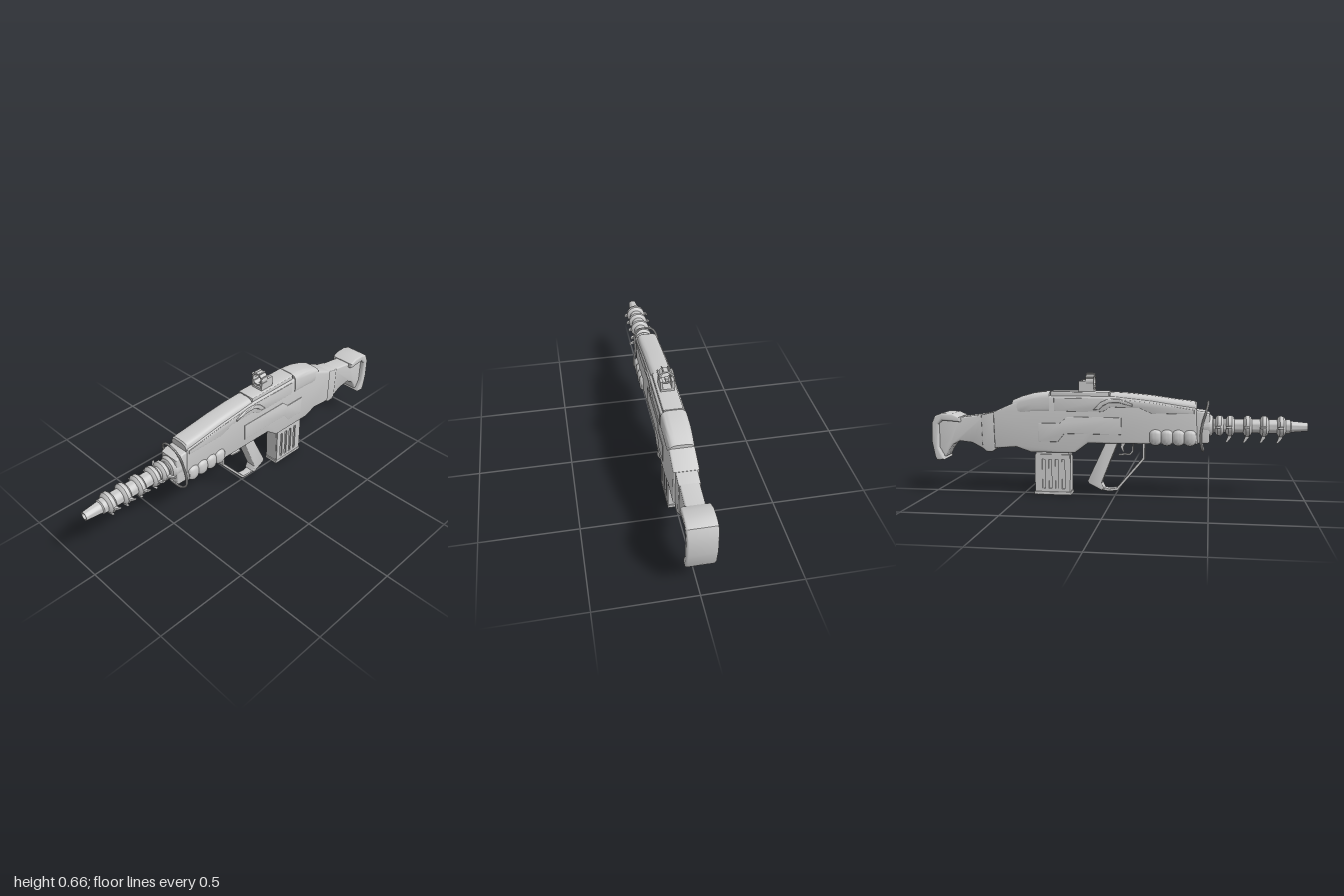
import * as THREE from 'three';
import { toCreasedNormals } from 'three/addons/utils/BufferGeometryUtils.js';

const material = new THREE.MeshStandardMaterial({ color: 0xcccccc, side: THREE.DoubleSide });

function add(parent, name, geometry, crease = 0.6) {
  const mesh = new THREE.Mesh(toCreasedNormals(geometry, crease), material);
  mesh.name = name;
  parent.add(mesh);
  return mesh;
}

// Side outline [z, y] extruded across x, centred, outer size kept after bevelling
function slab(points, halfWidth, bevel = 0, holes = []) {
  const toPath = (P, list) => new P(list.map(([z, y]) => new THREE.Vector2(z, y)));
  const shape = toPath(THREE.Shape, points);
  shape.holes = holes.map(h => toPath(THREE.Path, h));
  const depth = 2 * (halfWidth - bevel);
  const geo = new THREE.ExtrudeGeometry(shape, {
    depth, bevelEnabled: bevel > 0, bevelSize: bevel, bevelThickness: bevel,
    bevelOffset: -bevel, bevelSegments: 3,
  });
  return geo.translate(0, 0, -depth / 2).rotateY(-Math.PI / 2);
}

// Rounded-square sections [z, yBottom, yTop, halfWidth] joined along increasing z
function loft(stations, power = 4, sides = 32) {
  const pos = [], index = [];
  const round = v => Math.sign(v) * Math.abs(v) ** (2 / power);
  for (const [z, y0, y1, w] of stations)
    for (let j = 0; j < sides; j++) {
      const a = j / sides * Math.PI * 2;
      pos.push(w * round(Math.cos(a)), (y0 + y1) / 2 + (y1 - y0) / 2 * round(Math.sin(a)), z);
    }
  const last = (stations.length - 1) * sides, centre = stations.length * sides;
  for (const [z, y0, y1] of [stations[0], stations.at(-1)]) pos.push(0, (y0 + y1) / 2, z);
  for (let j = 0; j < sides; j++) {
    const k = (j + 1) % sides;
    for (let i = 0; i < last; i += sides)
      index.push(i + j, i + k, i + sides + j, i + k, i + sides + k, i + sides + j);
    index.push(centre, k, j, centre + 1, last + j, last + k);
  }
  const geo = new THREE.BufferGeometry();
  geo.setAttribute('position', new THREE.Float32BufferAttribute(pos, 3));
  geo.setIndex(index);
  return geo;
}

const box = (w, h, d, x, y, z) => new THREE.BoxGeometry(w, h, d).translate(x, y, z);
const rect = (z0, z1, y0, y1) => [[z0, y0], [z1, y0], [z1, y1], [z0, y1]];

function addBarrel(root) {
  const barrel = new THREE.Group();
  barrel.name = 'barrel';
  barrel.position.y = 0.39;
  root.add(barrel);
  const rings = [0.55, 0.605, 0.695, 0.78, 0.866];
  const profile = [[0, 0.46], [0.06, 0.46], [0.06, 0.5], [0.05, 0.515], [0.037, 0.52]];
  for (const z of rings)
    profile.push([0.037, z - 0.022], [0.046, z - 0.018], [0.054, z - 0.009],
      [0.054, z + 0.009], [0.046, z + 0.018], [0.037, z + 0.022]);
  profile.push([0.037, 0.91], [0.03, 0.915], [0.022, 1], [0.016, 1], [0.016, 0.92], [0, 0.92]);
  add(barrel, 'ringedBarrel', new THREE.LatheGeometry(
    profile.map(([r, z]) => new THREE.Vector2(r, z)), 24).rotateX(Math.PI / 2));
  // Curved fins below and beside each ring
  rings.forEach((z, i) => {
    for (const turn of [-1, 0, 1]) {
      if (i === 0 && turn === 0) continue;
      const tip = turn === 0 || i === 0 ? 0.088 : 0.072;
      const fin = slab([[z + 0.012, -0.045], [z + 0.008, -0.062], [z - 0.012, -tip],
        [z - 0.022, -tip], [z - 0.012, -0.062], [z - 0.012, -0.045]], 0.005);
      add(barrel, 'barrelFin', fin.rotateZ(turn * Math.PI / 2));
    }
  });
}

function addReceiver(root) {
  add(root, 'receiver', slab([[0.44, 0.295], [-0.14, 0.29], [-0.21, 0.237], [-0.45, 0.235],
    [-0.53, 0.262], [-0.65, 0.252], [-0.655, 0.45], [-0.53, 0.505], [-0.44, 0.53],
    [-0.35, 0.54], [0, 0.54], [0.2, 0.52], [0.43, 0.485]], 0.062, 0.01));
  add(root, 'frontBlock', slab([[0.41, 0.3], [0.49, 0.3], [0.5, 0.31], [0.5, 0.455],
    [0.47, 0.468], [0.41, 0.475]], 0.057, 0.008));
  // Rounded covers and the flat rail between them
  add(root, 'frontCover', loft([[-0.02, 0.43, 0.562, 0.057], [0.08, 0.43, 0.557, 0.057],
    [0.2, 0.43, 0.545, 0.057], [0.32, 0.42, 0.528, 0.057], [0.425, 0.42, 0.516, 0.056],
    [0.432, 0.425, 0.508, 0.053]]));
  add(root, 'topRail', slab(rect(-0.34, -0.025, 0.5, 0.563), 0.05, 0.006));
  add(root, 'rearCover', loft([[-0.548, 0.43, 0.515, 0.06], [-0.5, 0.43, 0.535, 0.064],
    [-0.44, 0.44, 0.552, 0.066], [-0.39, 0.44, 0.56, 0.066], [-0.345, 0.44, 0.562, 0.066]]));
  // Raised side panels, seams and brow-shaped mouldings on both sides
  add(root, 'sidePanels', slab([[0.04, 0.43], [-0.25, 0.43], [-0.29, 0.395], [-0.405, 0.395],
    [-0.405, 0.295], [-0.3, 0.295], [-0.265, 0.34], [0.04, 0.34]], 0.065, 0.002));
  add(root, 'sideSeams', slab([[0.42, 0.455], [0.2, 0.455], [0.13, 0.485], [-0.02, 0.485],
    [-0.06, 0.46], [-0.32, 0.46], [-0.32, 0.53], [-0.02, 0.53], [0.2, 0.51],
    [0.42, 0.477]], 0.064, 0.002));
  add(root, 'sideBrows', slab([[0.1, 0.502], [0.06, 0.518], [0.03, 0.528], [-0.03, 0.528],
    [-0.07, 0.51], [-0.11, 0.47], [-0.08, 0.47], [-0.055, 0.492], [-0.025, 0.508],
    [0.03, 0.508], [0.06, 0.5], [0.1, 0.49]], 0.07, 0.004));
}

function addHandguard(root) {
  // Four swollen lobes along the grip
  const stations = [];
  for (let i = 0; i <= 32; i++) {
    const t = i / 32, s = Math.abs(Math.sin(t * 4 * Math.PI)) ** 0.6;
    stations.push([0.19 + 0.24 * t, 0.298 - 0.016 * s, 0.362 + 0.014 * s, 0.07 + 0.01 * s]);
  }
  add(root, 'handguard', loft(stations, 4), 0.9);
  // Thin hoop wrapped round the front block
  const half = [[0, 0.515, 0.49], [0.04, 0.505, 0.49], [0.064, 0.465, 0.48], [0.064, 0.4, 0.462],
    [0.074, 0.33, 0.455], [0.07, 0.28, 0.46], [0.04, 0.26, 0.467], [0, 0.256, 0.468]];
  const other = half.slice(1, -1).reverse().map(([x, y, z]) => [-x, y, z]);
  const path = new THREE.CatmullRomCurve3(
    [...half, ...other].map(p => new THREE.Vector3(...p)), true);
  add(root, 'frontHoop', new THREE.TubeGeometry(path, 64, 0.006, 8, true));
}

function addStock(root) {
  add(root, 'stockCollar', slab([[-0.64, 0.25], [-0.665, 0.232], [-0.7, 0.232], [-0.72, 0.25],
    [-0.725, 0.432], [-0.64, 0.452]], 0.052, 0.006));
  add(root, 'stock', slab([[-0.7, 0.236], [-0.735, 0.255], [-0.78, 0.278], [-0.85, 0.286],
    [-0.89, 0.265], [-0.915, 0.23], [-0.93, 0.2], [-0.975, 0.2], [-0.975, 0.42],
    [-0.85, 0.415], [-0.7, 0.436]], 0.047, 0.008));
  add(root, 'buttPad', slab([[-0.84, 0.42], [-0.88, 0.438], [-0.94, 0.44], [-0.98, 0.425],
    [-0.998, 0.385], [-1, 0.28], [-0.985, 0.2], [-0.975, 0.18], [-0.933, 0.185],
    [-0.94, 0.21], [-0.962, 0.25], [-0.962, 0.38], [-0.94, 0.4], [-0.84, 0.393]], 0.072, 0.01));
}

function addGrip(root) {
  add(root, 'grip', slab([[0.02, 0.3], [-0.045, 0.3], [-0.147, 0.08], [-0.14, 0.066],
    [-0.07, 0.03], [-0.055, 0.042], [-0.07, 0.07]], 0.032, 0.006));
  add(root, 'handLoop', slab([[0.162, 0.3], [0.162, 0.205], [0.015, 0.03], [-0.035, 0.024],
    [-0.08, 0.034], [-0.07, 0.046], [-0.03, 0.038], [0.01, 0.044], [0.148, 0.21],
    [0.148, 0.3]], 0.021, 0.003));
  add(root, 'triggerGuard', slab([[0.1, 0.3], [0.1, 0.245], [0.085, 0.225], [0.02, 0.22],
    [0.02, 0.227], [0.08, 0.232], [0.093, 0.25], [0.093, 0.3]], 0.012));
  add(root, 'trigger', slab([[0.065, 0.3], [0.035, 0.3], [0.03, 0.265], [0.042, 0.24],
    [0.048, 0.24], [0.045, 0.265]], 0.008));
}

function addMagazine(root) {
  add(root, 'magazineCore', box(0.066, 0.23, 0.18, 0, 0.125, -0.337));
  const slots = [-0.277, -0.313, -0.349, -0.385].map(z => rect(z - 0.008, z + 0.008, 0.035, 0.195));
  for (const side of [-1, 1])
    add(root, 'slottedPlate', slab(rect(-0.433, -0.241, 0.018, 0.222), 0.006, 0, slots)
      .translate(side * 0.035, 0, 0));
  for (const z of [-0.431, -0.243]) add(root, 'magazineEdge', box(0.066, 0.2, 0.008, 0, 0.12, z));
  add(root, 'magazineBase', slab(rect(-0.438, -0.236, 0, 0.017), 0.043, 0.004));
}

function addSight(root) {
  const sight = new THREE.Group();
  sight.name = 'sight';
  root.add(sight);
  add(sight, 'sightBase', slab(rect(-0.192, -0.108, 0.55, 0.575), 0.036, 0.003));
  for (const side of [-1, 1]) {
    add(sight, 'sightPost', box(0.014, 0.06, 0.04, side * 0.029, 0.588, -0.17));
    add(sight, 'sightLeg', box(0.014, 0.04, 0.044, side * 0.029, 0.584, -0.132));
  }
  // Tubular eyepiece with small spikes and a centre bead
  const outline = new THREE.Shape().absarc(0, 0, 0.036, 0, Math.PI * 2);
  outline.holes.push(new THREE.Path().absarc(0, 0, 0.028, 0, Math.PI * 2));
  add(sight, 'sightRing', new THREE.ExtrudeGeometry(outline,
    { depth: 0.044, bevelEnabled: false, curveSegments: 16 }).translate(0, 0.617, -0.154));
  for (const a of [-1.05, -0.4, 0.4, 1.05])
    add(sight, 'sightSpike', box(0.006, 0.012, 0.044, 0, 0.039, 0).rotateZ(a)
      .translate(0, 0.617, -0.132));
  for (let i = 0; i < 4; i++)
    add(sight, 'sightTick', box(0.003, 0.006, 0.01, 0, 0.026, 0).rotateZ(i * Math.PI / 2)
      .translate(0, 0.617, -0.132));
  add(sight, 'sightBead', box(0.017, 0.017, 0.02, 0, 0.617, -0.165));
}

export function createModel() {
  const root = new THREE.Group();
  root.name = 'rifle';
  for (const build of [addBarrel, addReceiver, addHandguard, addStock, addGrip, addMagazine, addSight])
    build(root);
  return root;
}
